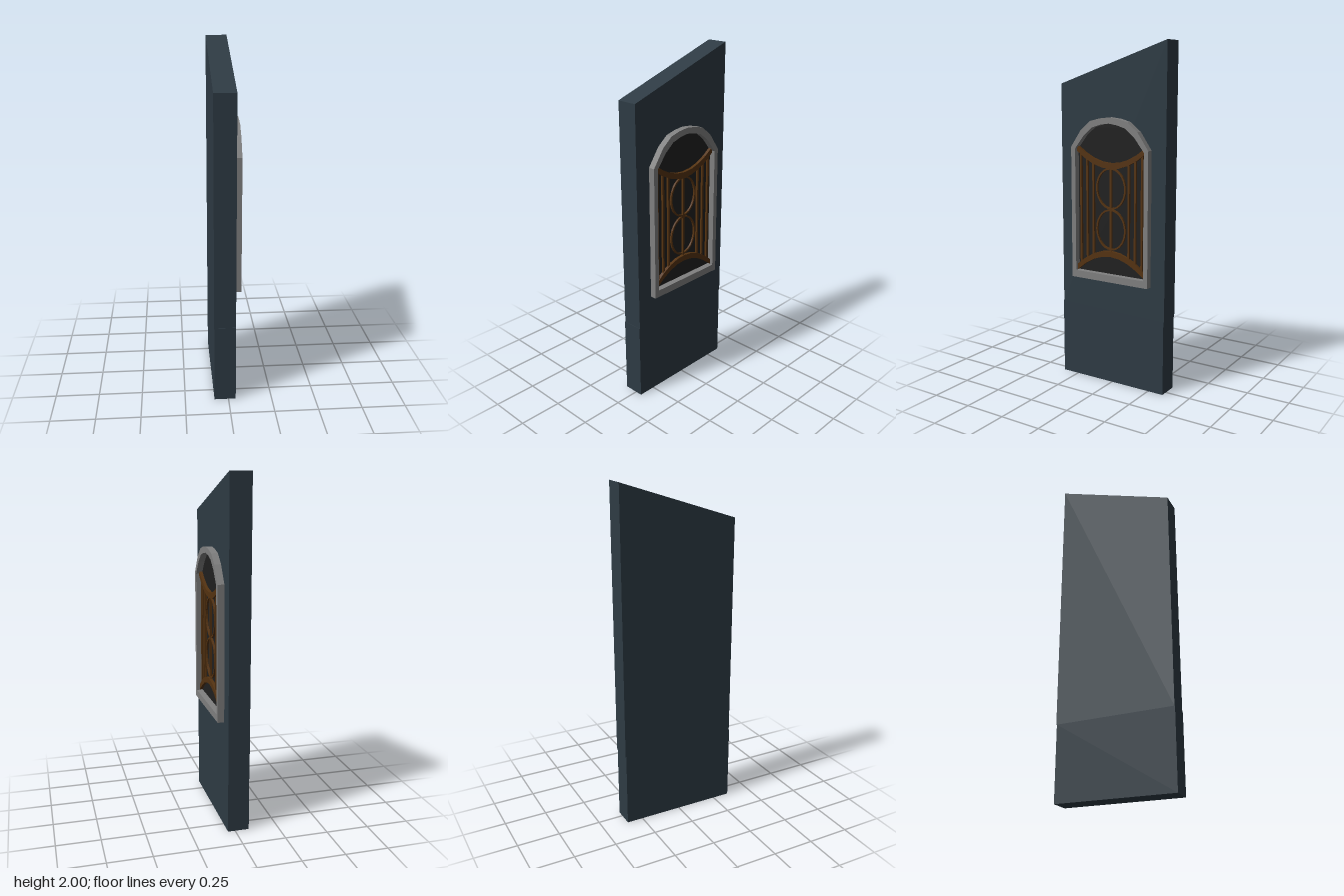
import * as THREE from 'three';

const FACE = 0.042; // x of the wall's window side
const mat = (color) => new THREE.MeshStandardMaterial({ color, flatShading: true, side: THREE.DoubleSide });
const wallMat = mat(0x2e3b44), frameMat = mat(0x808080), paneMat = mat(0x202020), grilleMat = mat(0x553311);

const toPoints = (list) => list.map(([u, y]) => new THREE.Vector2(u, y));

// Profiles are drawn in (u, y) with u = -z, then extruded along +x.
function slab(name, outline, x0, x1, material, hole) {
  const shape = new THREE.Shape(toPoints(outline));
  if (hole) shape.holes.push(new THREE.Path(toPoints(hole)));
  const geo = new THREE.ExtrudeGeometry(shape, { depth: x1 - x0, bevelEnabled: false });
  geo.rotateY(Math.PI / 2).translate(x0, 0, 0);
  const mesh = new THREE.Mesh(geo, material);
  mesh.name = name;
  return mesh;
}

// Round-headed opening: half widths and heights of the faceted arch, mirrored
function archOutline(half, bottom, arch) {
  const right = arch.map(([t, y]) => [t * half, y]);
  const left = right.slice(0, -1).reverse().map(([u, y]) => [-u, y]);
  return [[-half, bottom], [half, bottom], ...right, ...left].map(([u, y]) => [u + 0.002, y]);
}

function ellipse(cy, rx, ry, n = 28) {
  return Array.from({ length: n }, (_, i) => {
    const a = (i / n) * Math.PI * 2;
    return [Math.cos(a) * rx, cy + Math.sin(a) * ry];
  });
}

// Centre lines of the two curved rails
const railTop = (u) => 1.308 + 0.095 * (u / 0.23) ** 2;
const railLow = (u) => 0.795 - 0.105 * (u / 0.23) ** 2;

function rail(name, curve) {
  const us = Array.from({ length: 9 }, (_, i) => -0.228 + i * 0.0575);
  const low = us.map((u) => [u, Math.max(0.674, curve(u) - 0.017)]);
  const high = us.map((u) => [u, curve(u) + 0.017]).reverse();
  return slab(name, [...low, ...high], FACE, 0.062, grilleMat);
}

export function createModel() {
  const model = new THREE.Group();
  model.name = 'windowWallPanel';

  // Wall with sloping top and a slightly shifted base
  model.add(slab('wall', [
    [-0.353, 0], [0.347, 0], [0.347, 0.44], [0.351, 0.44],
    [0.351, 2], [-0.35, 1.768], [-0.35, 0.455], [-0.353, 0.455],
  ], -0.081, FACE, wallMat));

  // Window frame and dark pane
  const outer = archOutline(0.259, 0.63, [[1, 1.408], [0.73, 1.508], [0.48, 1.56], [0.24, 1.576], [0, 1.583]]);
  const inner = archOutline(0.231, 0.672, [[1, 1.398], [0.73, 1.477], [0.48, 1.524], [0.24, 1.541], [0, 1.549]]);
  model.add(slab('windowFrame', outer, FACE, 0.08, frameMat, inner));
  model.add(slab('windowPane', inner, FACE - 0.002, FACE + 0.002, paneMat));

  // Grille: curved rails, upright bars and two stacked rings
  const grille = new THREE.Group();
  grille.name = 'grille';
  grille.add(rail('upperRail', railTop), rail('lowerRail', railLow));
  for (const u of [-0.207, -0.163, -0.12, 0, 0.12, 0.163, 0.207]) {
    const y0 = railLow(u), y1 = railTop(u);
    const bar = new THREE.Mesh(new THREE.BoxGeometry(0.014, y1 - y0, 0.012), grilleMat);
    bar.position.set(FACE + 0.007, (y0 + y1) / 2, -u);
    bar.name = 'uprightBar';
    grille.add(bar);
  }
  for (const cy of [1.177, 0.937]) {
    grille.add(slab('ring', ellipse(cy, 0.101, 0.121), FACE, 0.055, grilleMat, ellipse(cy, 0.091, 0.111)));
  }
  model.add(grille);
  return model;
}
